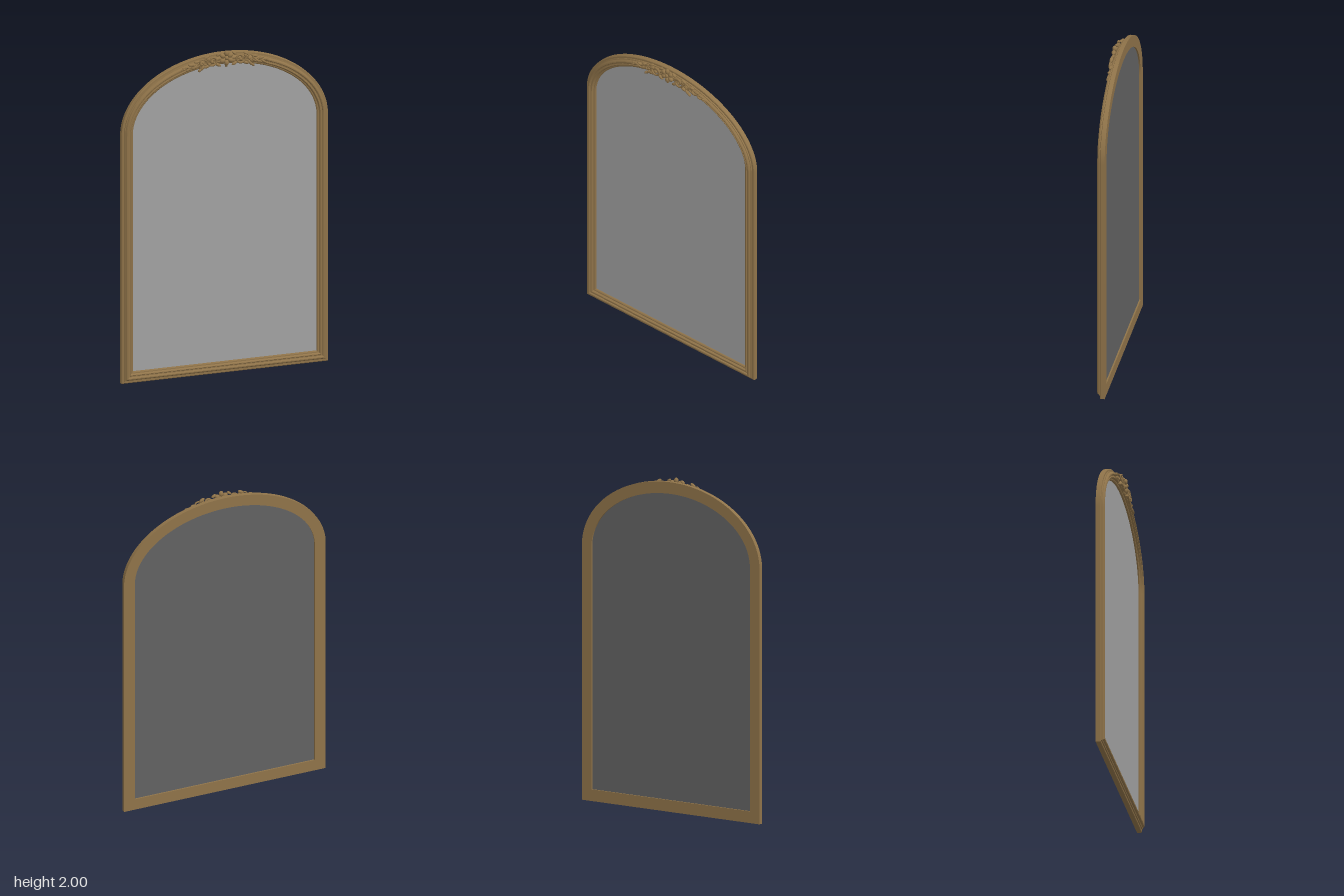
import * as THREE from 'three';
import { toCreasedNormals } from 'three/addons/utils/BufferGeometryUtils.js';

const HALF = 0.65, SPRING = 1.53, RISE = 0.45;

// Outline of the arch, inset by d: up the left side, over the top, down the other side
function outline(d, n = 64) {
  const pts = [new THREE.Vector2(HALF - d, d)];
  for (let i = 0; i <= n; i++) {
    const a = Math.PI * i / n;
    pts.push(new THREE.Vector2((HALF - d) * Math.cos(a), SPRING + (RISE - d) * Math.sin(a)));
  }
  pts.push(new THREE.Vector2(-(HALF - d), d));
  return pts;
}

// Height of the arch at x for an inset d
const archY = (x, d) => SPRING + (RISE - d) * Math.sqrt(1 - (x / (HALF - d)) ** 2);

// Sweeps a closed moulding profile of [inset, z] around the outline
function sweepFrame(profile) {
  const rings = profile.map(([d, z]) => outline(d).map(p => [p.x, p.y, z]));
  const pos = [];
  rings.forEach((r, j) => {
    const q = rings[(j + 1) % rings.length];
    for (let i = 0; i < r.length; i++) {
      const k = (i + 1) % r.length;
      pos.push(...r[i], ...r[k], ...q[k], ...r[i], ...q[k], ...q[i]);
    }
  });
  const g = new THREE.BufferGeometry();
  g.setAttribute('position', new THREE.Float32BufferAttribute(pos, 3));
  return toCreasedNormals(g, 0.5);
}

export function createModel() {
  const model = new THREE.Group();
  model.name = 'archedMirror';
  const gilt = new THREE.MeshStandardMaterial({ color: 0x8f7349 });
  gilt.name = 'antique gilt';
  const silver = new THREE.MeshStandardMaterial({ color: 0xa2a2a2 });
  silver.name = 'mirror silver';
  const grey = new THREE.MeshStandardMaterial({ color: 0x626262 });
  grey.name = 'backing grey';

  const add = (parent, name, geo, mat = gilt) => {
    const m = new THREE.Mesh(geo, mat);
    m.name = name;
    parent.add(m);
    return m;
  };

  // Moulded frame
  add(model, 'frame', sweepFrame([
    [0, -0.035], [0, -0.009], [0.004, -0.006], [0.014, -0.006], [0.014, 0.002],
    [0.019, 0.003], [0.022, 0.010], [0.027, 0.014], [0.033, 0.015], [0.038, 0.012],
    [0.040, 0.006], [0.046, 0.006], [0.049, 0.009], [0.053, 0.008], [0.056, 0.003],
    [0.059, -0.002], [0.065, -0.003], [0.070, -0.007], [0.070, -0.035],
  ]));

  // Glass and backing plates
  const plate = (name, z, mat) => {
    const geo = new THREE.ExtrudeGeometry(new THREE.Shape(outline(0.068)), { depth: 0.006, bevelEnabled: false });
    add(model, name, geo, mat).position.z = z;
  };
  plate('glass', -0.02, silver);
  plate('backing', -0.026, grey);

  // Carved crest
  const crest = new THREE.Group();
  crest.name = 'crest';
  model.add(crest);

  // Flattened carved lobe
  const lobe = (name, x, y, z, len, wide, thick, angle) => {
    const m = add(crest, name, new THREE.SphereGeometry(1, 14, 10));
    m.scale.set(len, wide, thick);
    m.position.set(x, y, z);
    m.rotation.z = angle;
  };

  // Central rosette
  const cy = 1.953;
  for (let i = 0; i < 6; i++) {
    const a = Math.PI / 2 + i * Math.PI / 3;
    lobe('rosettePetal', 0.029 * Math.cos(a), cy + 0.029 * Math.sin(a), 0.020, 0.018, 0.014, 0.013, a);
  }
  lobe('rosetteCentre', 0, cy, 0.024, 0.012, 0.012, 0.011, 0);
  lobe('rosetteDrop', 0, 1.912, 0.015, 0.016, 0.009, 0.01, Math.PI / 2);

  // Tapered-looking carved stem through a list of points
  const stem = (name, pts, radius) => {
    const curve = new THREE.CatmullRomCurve3(pts);
    add(crest, name, new THREE.TubeGeometry(curve, 40, radius, 7));
    for (const p of [pts[0], pts[pts.length - 1]])
      lobe(name + 'End', p.x, p.y, p.z, radius * 1.5, radius * 1.5, radius * 1.2, 0);
  };

  for (const s of [1, -1]) {
    // Large inner scroll, unwinding into the outward tail
    const spiral = [];
    for (let i = 0; i <= 14; i++) {
      const a = -1.2 + i * 0.56, r = 0.009 + i * 0.0019;
      spiral.push(new THREE.Vector3(s * (0.087 + r * Math.cos(a)), 1.945 + r * Math.sin(a), 0.021));
    }
    stem('scroll', spiral, 0.0065);
    const tail = [];
    for (let i = 0; i <= 8; i++) {
      const x = 0.115 + i * 0.019;
      tail.push(new THREE.Vector3(s * x, archY(x, 0.036) + 0.012 * Math.sin(i * 0.9 + 1), 0.017 - i * 0.0004));
    }
    stem('tail', tail, 0.005);

    // Outer small curl
    const curl = [];
    for (let i = 0; i <= 9; i++) {
      const a = 2.6 - i * 0.6, r = 0.024 - i * 0.0018;
      curl.push(new THREE.Vector3(s * (0.151 + r * Math.cos(a)), 1.938 + r * Math.sin(a), 0.021));
    }
    stem('curl', curl, 0.005);

    // Acanthus leaves: x, y, length, width, tilt
    const leaves = [
      [0.052, 1.915, 0.020, 0.009, 0.5], [0.050, 1.978, 0.016, 0.008, -0.6],
      [0.125, 1.968, 0.020, 0.009, -0.5], [0.122, 1.912, 0.022, 0.009, -0.3],
      [0.150, 1.906, 0.020, 0.008, -0.9], [0.168, 1.893, 0.012, 0.008, -0.8],
      [0.183, 1.945, 0.018, 0.008, -0.1], [0.196, 1.914, 0.020, 0.008, -0.7],
      [0.222, 1.930, 0.018, 0.007, 0.1], [0.238, 1.904, 0.018, 0.007, -0.6],
      [0.268, 1.908, 0.019, 0.006, -0.3],
    ];
    for (const [x, y, len, wide, tilt] of leaves)
      lobe('leaf', s * x, y, x < 0.18 ? 0.017 : 0.012, len, wide, 0.010, s * tilt);
  }
  return model;
}
